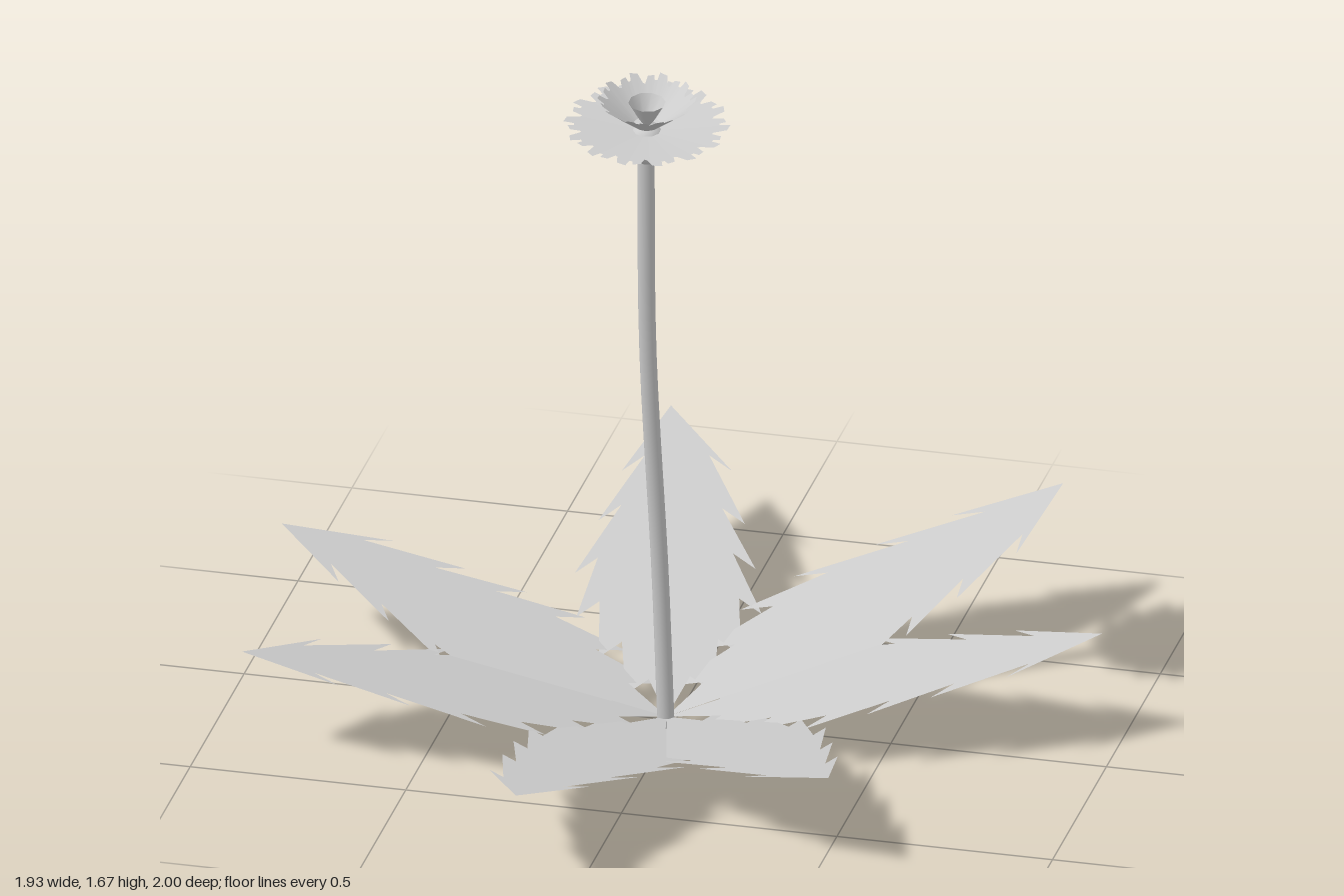
import * as THREE from 'three';

const plantGrey = new THREE.MeshStandardMaterial({ color: 0xcccccc, side: THREE.DoubleSide });
plantGrey.name = 'plant grey';

function part(name, geometry, parent) {
  const mesh = new THREE.Mesh(geometry, plantGrey);
  mesh.name = name;
  parent.add(mesh);
  return mesh;
}

// Barbed leaf of unit length along +y; each tooth is [distance along, half width]
function leafGeometry() {
  const rightTeeth = [[0.79, 0.135], [0.62, 0.165], [0.475, 0.19], [0.33, 0.205], [0.2, 0.16], [0.08, 0.1]];
  const leftTeeth = [[0.79, 0.105], [0.63, 0.155], [0.46, 0.205], [0.32, 0.2], [0.19, 0.15], [0.07, 0.09]];
  const edge = (teeth, side) => teeth.flatMap(([t, w]) => [
    new THREE.Vector2(side * w, t),
    new THREE.Vector2(side * (w - 0.05), t + 0.05),
  ]);
  return new THREE.ShapeGeometry(new THREE.Shape([
    new THREE.Vector2(0, 1),
    ...edge(leftTeeth, -1),
    new THREE.Vector2(0, 0),
    ...edge(rightTeeth, 1).reverse().map((p) => p),
  ]));
}

// Dished ring of petals with notched square tips
function petalRing(count, r0, r1, y0, y1, notch) {
  const tip = [[0.04, 0.8], [0.14, 0.93], [0.36, 0.95], [0.4, 1 - notch], [0.5, 1 - notch], [0.54, 1], [0.8, 0.97], [0.95, 0.82]];
  const positions = [], index = [];
  for (let i = 0; i < count; i++) {
    for (const [f, k] of tip) {
      const a = ((i + f) / count) * Math.PI * 2;
      const r = r1 * k;
      const y = y0 + (y1 - y0) * (r - r0) / (r1 - r0);
      positions.push(Math.cos(a) * r0, y0, Math.sin(a) * r0, Math.cos(a) * r, y, Math.sin(a) * r);
    }
  }
  const n = count * tip.length;
  for (let i = 0; i < n; i++) {
    const a = 2 * i, b = 2 * ((i + 1) % n);
    index.push(a, b, b + 1, a, b + 1, a + 1);
  }
  const g = new THREE.BufferGeometry();
  g.setAttribute('position', new THREE.Float32BufferAttribute(positions, 3));
  g.setIndex(index);
  g.computeVertexNormals();
  return g;
}

export function createModel() {
  const plant = new THREE.Group();
  plant.name = 'rosettePlant';

  // Rosette of seven flat leaves rising from the root
  const root = new THREE.Vector3(-0.01, 0.025, 0.04);
  const up = new THREE.Vector3(0, 1, 0);
  const tips = [
    [-0.26, 0.29, -1.0], [0.7, 0.3, -0.8], [0.96, 0.27, -0.12], [0.53, 0.24, 0.7],
    [-0.12, 0.26, 1.0], [-0.9, 0.26, 0.42], [-0.97, 0.27, -0.23],
  ];
  const leafShape = leafGeometry();
  tips.forEach((t, i) => {
    const along = new THREE.Vector3(...t).sub(root);
    const length = along.length();
    along.normalize();
    const side = along.clone().cross(up).normalize();
    const normal = side.clone().cross(along);
    const leaf = part('leaf' + (i + 1), leafShape, plant);
    leaf.quaternion.setFromRotationMatrix(new THREE.Matrix4().makeBasis(side, along, normal));
    leaf.scale.set(1.03, length, 1);
    leaf.position.copy(root);
  });

  // Gently bowed stem
  const stemPath = new THREE.CatmullRomCurve3([
    [-0.01, 0, 0.045], [-0.015, 0.4, 0.08], [-0.025, 1.0, 0.155], [-0.015, 1.52, 0.212],
  ].map((p) => new THREE.Vector3(...p)));
  part('stem', new THREE.TubeGeometry(stemPath, 14, 0.02, 8), plant);

  // Flower head, tipped slightly forward
  const flower = new THREE.Group();
  flower.name = 'flower';
  flower.position.set(-0.013, 1.49, 0.213);
  flower.rotation.set(0.1, 0, -0.03);
  plant.add(flower);
  const profile = (points) => new THREE.LatheGeometry(points.map((p) => new THREE.Vector2(...p)), 10);
  part('calyx', profile([[0, 0], [0.022, 0.004], [0.047, 0.045], [0.042, 0.07], [0.025, 0.092], [0, 0.098]]), flower);
  part('outerPetals', petalRing(14, 0.03, 0.188, 0.083, 0.1, 0.13), flower);
  part('innerPetals', petalRing(10, 0.03, 0.112, 0.098, 0.168, 0.13), flower);
  part('flowerCentre', profile([[0.008, 0.098], [0.02, 0.115], [0.042, 0.155]]), flower);
  return plant;
}
